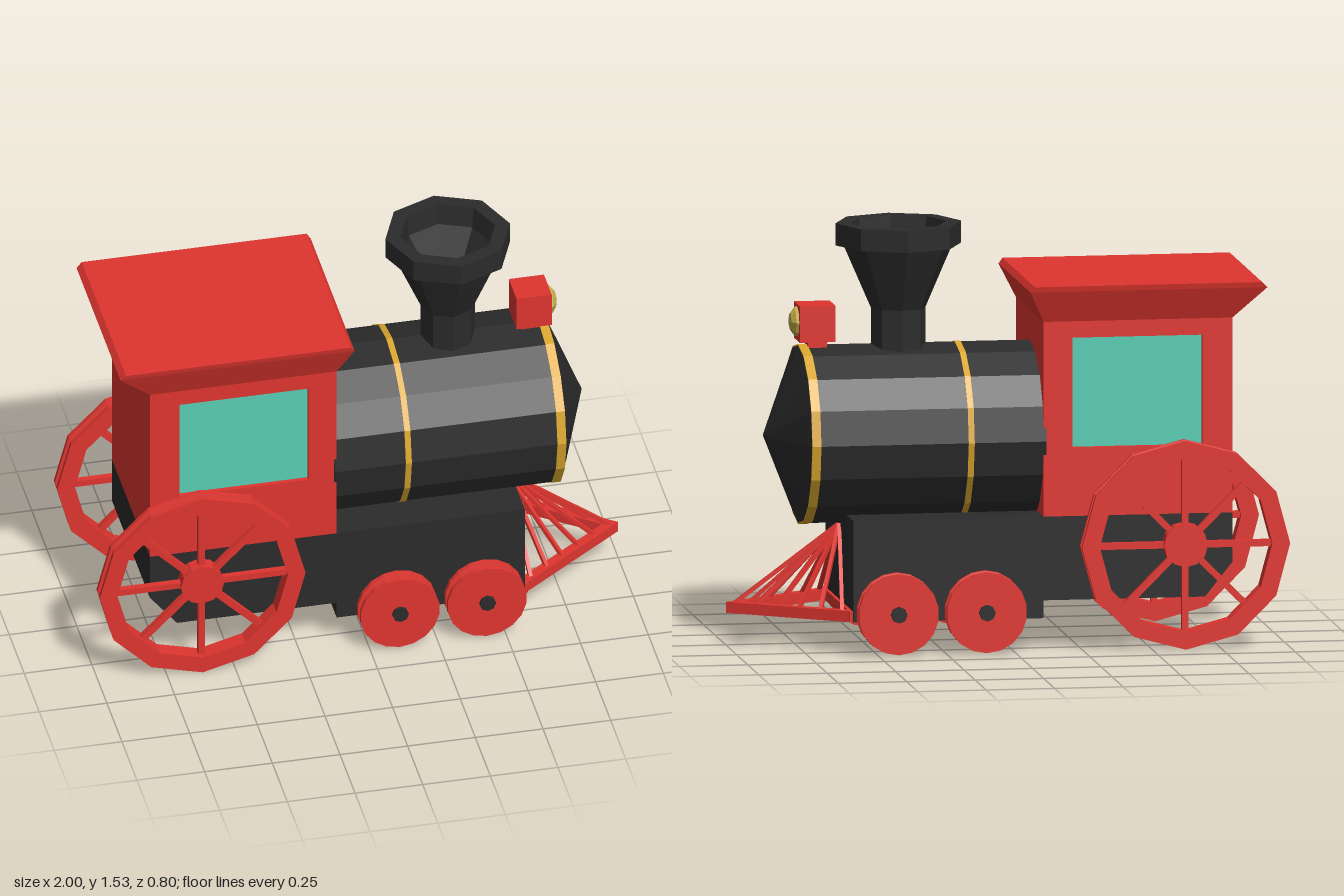
import * as THREE from 'three';

const mat = (color) => new THREE.MeshStandardMaterial({ color, flatShading: true });

export function createModel() {
  const group = new THREE.Group();
  const red = mat(0xdf352f), black = mat(0x2b2b2b), gold = mat(0xd9a62e);
  const teal = mat(0x58cdb5), brass = mat(0xc5b04a);

  const add = (name, geometry, material, x = 0, y = 0, z = 0, parent = group) => {
    const mesh = new THREE.Mesh(geometry, material);
    mesh.name = name;
    mesh.position.set(x, y, z);
    parent.add(mesh);
    return mesh;
  };
  // box given by its minimum and maximum corners
  const addBox = (name, material, a, b) => add(name,
    new THREE.BoxGeometry(b[0] - a[0], b[1] - a[1], b[2] - a[2]), material,
    (a[0] + b[0]) / 2, (a[1] + b[1]) / 2, (a[2] + b[2]) / 2);
  const lathe = (points, sides) =>
    new THREE.LatheGeometry(points.map(([r, y]) => new THREE.Vector2(r, y)), sides);
  const polygon = (points) => new THREE.Shape(points.map(([x, y]) => new THREE.Vector2(x, y)));
  const rect = (x0, y0, x1, y1) => [[x0, y0], [x1, y0], [x1, y1], [x0, y1]];
  // rectangular bar joining two points
  const addBar = (name, a, b, width, height, parent) => {
    const p = new THREE.Vector3(...a), q = new THREE.Vector3(...b);
    const bar = add(name, new THREE.BoxGeometry(width, height, p.distanceTo(q)), red, 0, 0, 0, parent);
    bar.position.copy(p).add(q).multiplyScalar(0.5);
    bar.lookAt(q);
    return bar;
  };

  // Chassis with a stepped, chamfered underside
  const chassis = polygon([[-0.8, 0.31], [-0.7, 0.185], [-0.11, 0.185], [-0.11, 0.12],
    [0.585, 0.12], [0.585, 0.49], [-0.8, 0.49]]);
  add('chassis', new THREE.ExtrudeGeometry(chassis, { depth: 0.63, bevelEnabled: false }), black, 0, 0, -0.315);

  // Cab: core, windows set back in side panels
  addBox('cabCore', red, [-0.8, 0.49, -0.295], [-0.11, 1.2, 0.295]);
  for (const s of [1, -1]) {
    const side = polygon(rect(-0.8, 0.49, -0.11, 1.2));
    side.holes.push(polygon(rect(-0.69, 0.74, -0.215, 1.14)));
    add('cabSide', new THREE.ExtrudeGeometry(side, { depth: 0.02, bevelEnabled: false }),
      red, 0, 0, s > 0 ? 0.295 : -0.315);
    add('window', new THREE.BoxGeometry(0.475, 0.4, 0.006), teal, -0.4525, 0.94, s * 0.295);
  }

  // Flared roof: three rectangular sections
  const roof = new THREE.BoxGeometry(2, 2, 2, 1, 2, 1);
  const sections = [[-0.8, -0.11, 0.315, 1.2], [-0.92, -0.055, 0.365, 1.315], [-0.9, -0.07, 0.37, 1.335]];
  const rp = roof.attributes.position;
  for (let i = 0; i < rp.count; i++) {
    const [x0, x1, z, y] = sections[Math.round(rp.getY(i)) + 1];
    rp.setXYZ(i, rp.getX(i) < 0 ? x0 : x1, y, Math.sign(rp.getZ(i)) * z);
  }
  add('roof', roof, red);

  // Boiler with conical nose, and its bands
  add('boiler', lathe([[0, -0.12], [0.325, -0.12], [0.325, 0.735], [0, 0.865]], 16)
    .rotateZ(-Math.PI / 2), black, 0, 0.765, 0);
  for (const [a, b] of [[0.143, 0.165], [0.703, 0.736]]) {
    add('boilerBand', lathe([[0.31, a], [0.328, a], [0.328, b], [0.31, b]], 16)
      .rotateZ(-Math.PI / 2), gold, 0, 0.765, 0);
  }

  // Hollow funnel chimney
  add('chimney', lathe([[0, 1.05], [0.1, 1.05], [0.1, 1.22], [0.2, 1.45], [0.23, 1.45],
    [0.23, 1.53], [0.175, 1.53], [0.165, 1.45], [0.08, 1.3], [0, 1.3]], 8), black, 0.37, 0, 0);

  // Headlamp
  addBox('lampPost', red, [0.635, 1.06, -0.035], [0.705, 1.11, 0.035]);
  addBox('lampHousing', red, [0.61, 1.107, -0.065], [0.74, 1.24, 0.065]);
  add('lamp', lathe([[0.056, 0], [0.052, 0.012], [0.032, 0.027], [0, 0.034]], 8)
    .rotateZ(-Math.PI / 2), brass, 0.738, 1.177, 0);

  // Spoked rear wheels with grooved rims
  for (const s of [1, -1]) {
    const wheel = new THREE.Group();
    wheel.name = 'rearWheel';
    wheel.position.set(-0.62, 0.383, s * 0.354);
    group.add(wheel);
    add('rim', lathe([[0.315, -0.03], [0.38, -0.03], [0.38, -0.014], [0.36, -0.01], [0.36, 0.01],
      [0.38, 0.014], [0.38, 0.03], [0.315, 0.03], [0.315, -0.03]], 12)
      .rotateX(Math.PI / 2), red, 0, 0, 0, wheel);
    add('hub', new THREE.CylinderGeometry(0.08, 0.08, 0.055, 12).rotateX(Math.PI / 2), red, 0, 0, 0, wheel);
    add('axle', new THREE.CylinderGeometry(0.04, 0.04, 0.05, 8).rotateX(Math.PI / 2), red, 0, 0, -s * 0.035, wheel);
    for (let i = 0; i < 8; i++) {
      const a = i * Math.PI / 4;
      const spoke = add('spoke', new THREE.BoxGeometry(0.26, 0.024, 0.024), red,
        Math.cos(a) * 0.19, Math.sin(a) * 0.19, 0, wheel);
      spoke.rotation.z = a;
    }
  }

  // Small front wheels on black axles
  for (const x of [0.108, 0.43]) {
    for (const s of [1, -1]) {
      add('frontWheel', lathe([[0, -0.031], [0.147, -0.031], [0.147, -0.014], [0.128, -0.01],
        [0.128, 0.01], [0.147, 0.014], [0.147, 0.031], [0, 0.031]], 18)
        .rotateX(Math.PI / 2), red, x, 0.155, s * 0.357);
    }
    add('frontAxle', new THREE.CylinderGeometry(0.03, 0.03, 0.8, 8).rotateX(Math.PI / 2), black, x, 0.155, 0);
  }

  // Pilot: V-shaped base frame and a fan of slats
  const pilot = new THREE.Group();
  pilot.name = 'pilot';
  group.add(pilot);
  const base = polygon([[0.58, -0.315], [1, 0], [0.58, 0.315], [0.58, 0.268], [0.94, 0], [0.58, -0.268]]);
  add('pilotBase', new THREE.ExtrudeGeometry(base, { depth: 0.04, bevelEnabled: false })
    .rotateX(-Math.PI / 2), red, 0, 0.12, 0, pilot);
  addBar('pilotBackBar', [0.587, 0.14, -0.31], [0.587, 0.14, 0.31], 0.02, 0.04, pilot);
  for (let i = -5; i <= 5; i++) {
    const t = Math.abs(i) / 5.6;
    addBar('pilotSlat', [0.588, 0.435, i * 0.003],
      [0.975 - 0.4 * t, 0.15, Math.sign(i) * 0.3 * t], 0.014, 0.014, pilot);
  }
  return group;
}
